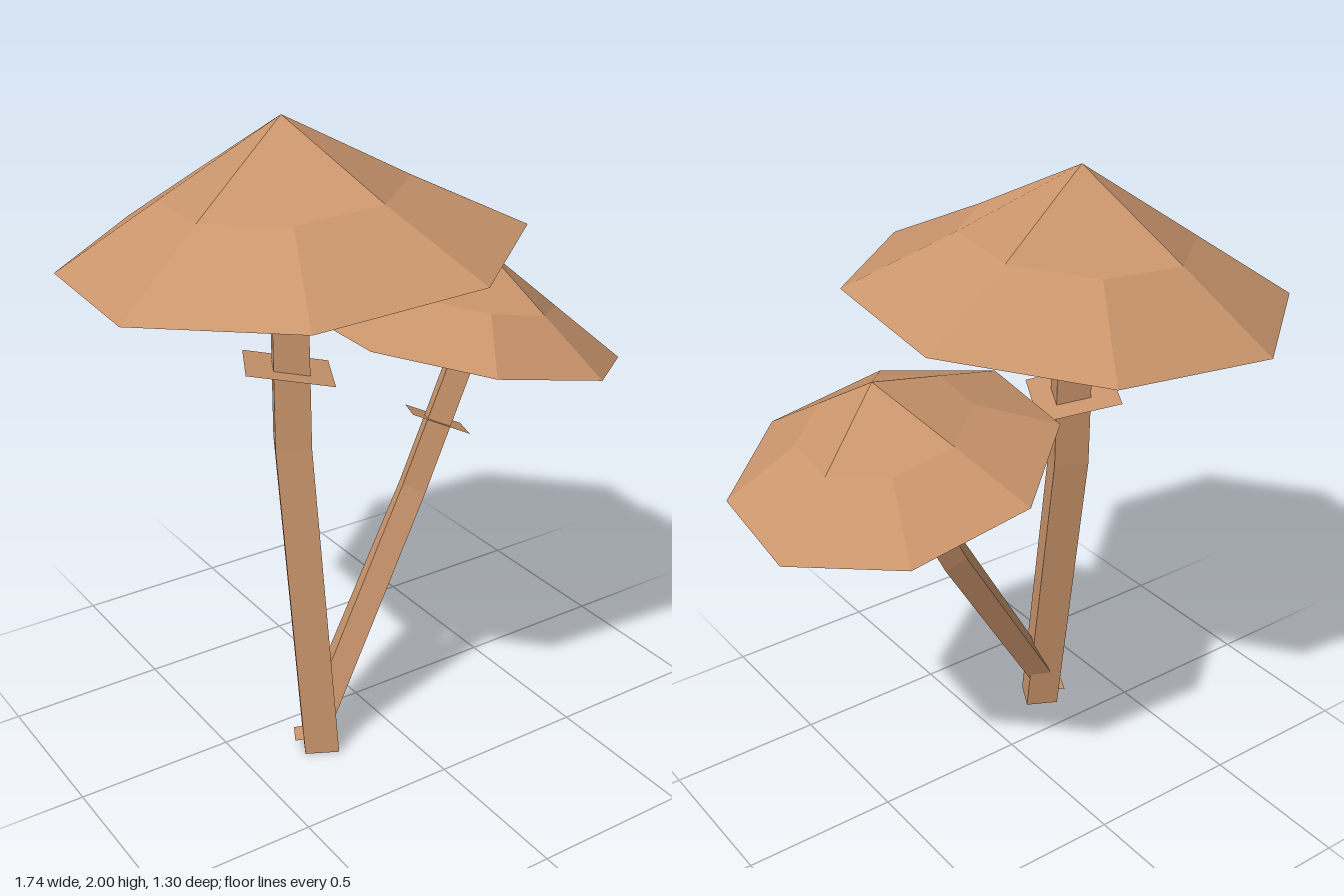
import * as THREE from 'three';

const tan = new THREE.MeshStandardMaterial({ color: 0xca956c, side: THREE.DoubleSide });
tan.name = 'mushroomTan';

// Regular polygon of points on a plane tilted by slopes sx (along x) and sz (along z)
function ring([x, y, z], radius, sides, sx = 0, sz = 0) {
  return Array.from({ length: sides }, (_, i) => {
    const a = THREE.MathUtils.degToRad(-17.5) + (i / sides) * Math.PI * 2;
    const dx = radius * Math.cos(a), dz = radius * Math.sin(a);
    return new THREE.Vector3(x + dx, y + sx * dx + sz * dz, z + dz);
  });
}

// Mesh of four-cornered facets, each with one flat normal
function facetMesh(name, quads) {
  const pos = [], nor = [];
  for (const q of quads) {
    const n = q[2].clone().sub(q[0]).cross(q[3].clone().sub(q[1])).normalize();
    for (const i of [0, 1, 2, 0, 2, 3]) {
      pos.push(...q[i].toArray());
      nor.push(...n.toArray());
    }
  }
  const g = new THREE.BufferGeometry();
  g.setAttribute('position', new THREE.Float32BufferAttribute(pos, 3));
  g.setAttribute('normal', new THREE.Float32BufferAttribute(nor, 3));
  const mesh = new THREE.Mesh(g, tan);
  mesh.name = name;
  return mesh;
}

// Hollow eight-sided cap: four facets round the tip, eight round the rim
function cap(name, tip, mid, rim) {
  const t = new THREE.Vector3(...tip), quads = [];
  for (let i = 0; i < 8; i++) {
    const j = (i + 1) % 8, k = (i + 2) % 8;
    if (i % 2 === 0) quads.push([t, mid[k], mid[j], mid[i]]);
    quads.push([mid[j], rim[j], rim[i], mid[i]]);
  }
  return facetMesh(name, quads);
}

// Closed square stem through its cross-sections, bottom to top
function stem(name, sections) {
  const quads = [sections[0], [...sections.at(-1)].reverse()];
  for (let s = 0; s < sections.length - 1; s++) {
    const b = sections[s], t = sections[s + 1];
    for (let i = 0; i < 4; i++) {
      const j = (i + 1) % 4;
      quads.push([b[j], b[i], t[i], t[j]]);
    }
  }
  return facetMesh(name, quads);
}

// Thin square skirt around a stem
const skirt = (name, ...args) => facetMesh(name, [ring(...args).reverse()]);

export function createModel() {
  const model = new THREE.Group();
  model.name = 'mushrooms';

  // Tall mushroom
  const tall = new THREE.Group();
  tall.name = 'tallMushroom';
  tall.add(
    cap('tallCap', [-0.24, 2, -0.012],
      ring([-0.232, 1.79, -0.012], 0.36, 8, 0.064, 0.035),
      ring([-0.216, 1.61, 0], 0.682, 8, 0.064, 0.035)),
    stem('tallStem', [
      ring([-0.247, 0, 0.17], 0.076, 4),
      ring([-0.255, 1.02, 0.042], 0.077, 4),
      ring([-0.232, 1.78, -0.003], 0.073, 4),
    ]),
    skirt('tallSkirt', [-0.255, 1.255, 0.025], 0.183, 4, -0.2, 0),
    skirt('baseSkirt', [-0.29, 0.042, 0.145], 0.048, 4, 0.1, 0),
  );

  // Short leaning mushroom
  const short = new THREE.Group();
  short.name = 'shortMushroom';
  short.add(
    cap('shortCap', [0.465, 1.49, 0.032],
      ring([0.43, 1.345, 0.032], 0.257, 8, -0.22, 0.038),
      ring([0.4, 1.21, 0.036], 0.492, 8, -0.22, 0.038)),
    stem('shortStem', [
      ring([-0.235, 0.12, 0.155], 0.06, 4),
      ring([0.16, 0.772, 0.085], 0.05, 4, -0.6, 0),
      ring([0.43, 1.3, 0.05], 0.05, 4, -0.45, 0),
    ]),
    skirt('shortSkirt', [0.28, 0.962, 0.046], 0.128, 4, -0.48, 0.03),
  );

  model.add(tall, short);
  return model;
}
